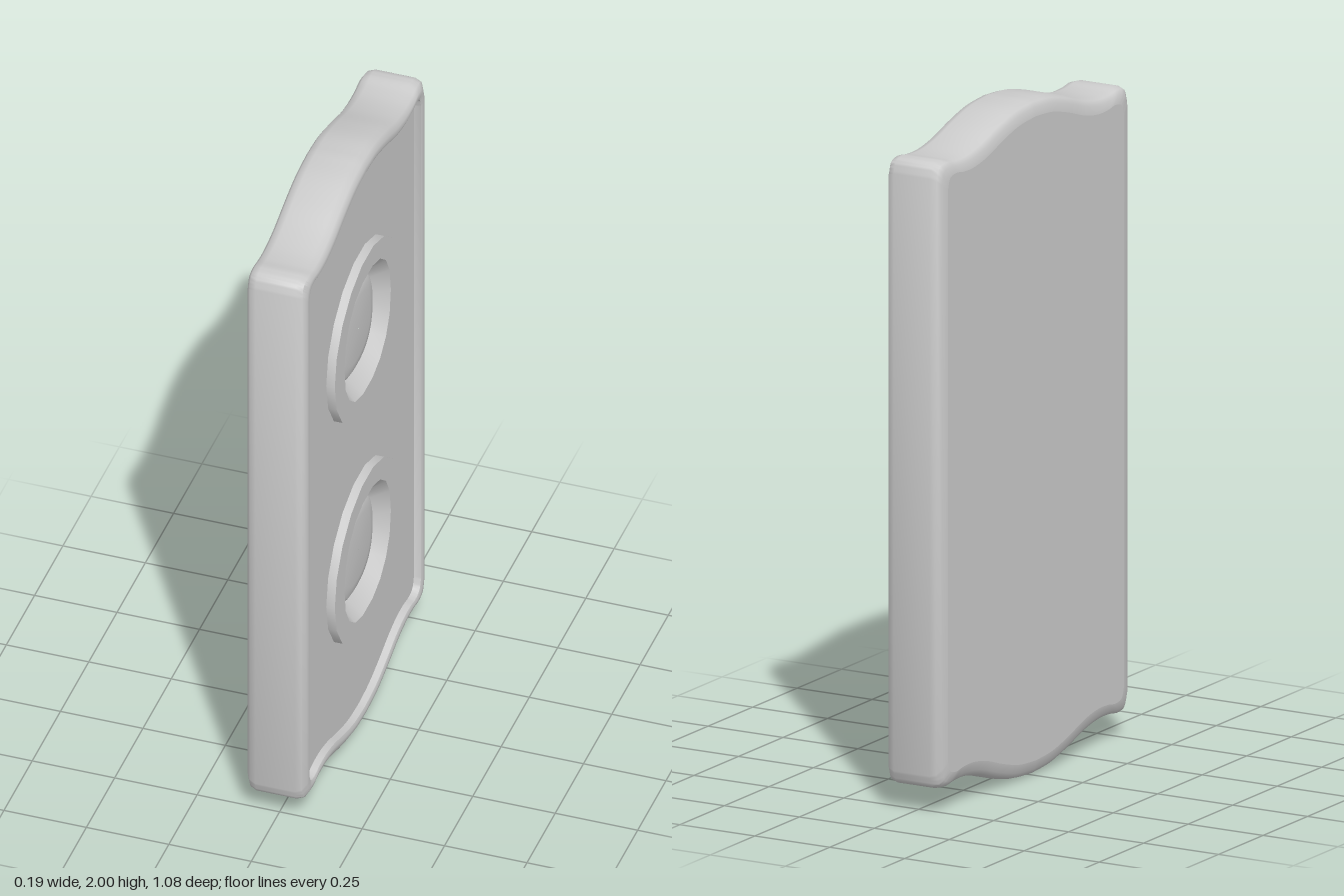
import * as THREE from 'three';
import { toCreasedNormals } from 'three/addons/utils/BufferGeometryUtils.js';

const material = new THREE.MeshStandardMaterial({ color: 0xcccccc });

// Skins a list of equal-length closed loops (counter-clockwise, seen from +z)
function loft(loops, crease) {
  const n = loops[0].length, index = [];
  for (let i = 0; i < loops.length - 1; i++) {
    for (let j = 0; j < n; j++) {
      const a = i * n + j, b = i * n + (j + 1) % n;
      index.push(a, b, b + n, a, b + n, a + n);
    }
  }
  const geo = new THREE.BufferGeometry();
  geo.setAttribute('position', new THREE.Float32BufferAttribute(loops.flat(2), 3));
  geo.setIndex(index);
  return toCreasedNormals(geo, crease);
}

function mesh(name, geo) {
  const m = new THREE.Mesh(geo, material);
  m.name = name;
  return m;
}

// Plate outline: one quarter of the crested edge, mirrored to all four corners
function plateOutline() {
  const quarter = new THREE.CatmullRomCurve3([
    [0, 1], [0.1, 0.992], [0.2, 0.968], [0.3, 0.937], [0.38, 0.923], [0.44, 0.923],
    [0.49, 0.929], [0.525, 0.92], [0.54, 0.885],
  ].map(([x, y]) => new THREE.Vector3(x, y, 0))).getPoints(40);
  const up = quarter.slice().reverse();
  return [
    ...up.map((p) => [p.x, p.y]),
    ...quarter.slice(1).map((p) => [-p.x, p.y]),
    ...up.map((p) => [-p.x, -p.y]),
    ...quarter.slice(1).map((p) => [p.x, -p.y]),
  ];
}

const inset = (outline, d) => outline.map(([x, y]) => [x * (1 - d / 0.54), 1 + y * (1 - d)]);
const toShape = (pts) => new THREE.Shape(pts.map(([x, y]) => new THREE.Vector2(x, y)));

// Slightly squared ellipse
function roundLoop([z, rx, ry, power], sides = 18) {
  const bend = (c) => Math.sign(c) * Math.abs(c) ** (2 / power);
  return Array.from({ length: sides }, (_, i) => {
    const a = (i / sides) * Math.PI * 2;
    return [rx * bend(Math.cos(a)), ry * bend(Math.sin(a)), z];
  });
}

export function createModel() {
  const group = new THREE.Group();
  group.name = 'plate';
  const plate = new THREE.Group();
  plate.name = 'plateParts';
  plate.rotation.y = Math.PI / 2; // detailed face looks to +x
  group.add(plate);

  // Rounded frame: back bevel, side, front bevel, rim and inner wall
  const outline = plateOutline();
  const frame = [
    [-0.094, 0.045], [-0.09, 0.02], [-0.08, 0.006], [-0.06, 0], [0.06, 0],
    [0.08, 0.006], [0.09, 0.022], [0.092, 0.035], [0.088, 0.045], [0.067, 0.047],
  ].map(([z, d]) => inset(outline, d).map(([x, y]) => [x, y, z]));
  plate.add(mesh('frame', loft(frame, 0.75)));

  // Flat back
  const back = mesh('back', new THREE.ShapeGeometry(toShape(inset(outline, 0.045))));
  back.rotation.y = Math.PI;
  back.position.z = -0.094;
  plate.add(back);

  // Recessed panel, opened under the two rings
  const centres = [[0.008, 1.389], [0.008, 0.597]];
  const panelShape = toShape(inset(outline, 0.047));
  for (const [x, y] of centres) {
    panelShape.holes.push(new THREE.Path().absarc(x, y, 0.24, 0, Math.PI * 2, true));
  }
  const panel = mesh('panel', new THREE.ShapeGeometry(panelShape, 24));
  panel.position.z = 0.067;
  plate.add(panel);

  // Raised rings with a funnel and a low domed button: [height, rx, ry, squareness]
  const ring = [
    [0.06, 0.291, 0.271, 2], [0.093, 0.291, 0.271, 2],
    [0.093, 0.205, 0.203, 2.25], [0.04, 0.164, 0.154, 2.45],
  ].map((p) => roundLoop(p));
  const button = [
    [0.038, 0.166, 0.156, 2.5], [0.04, 0.155, 0.146, 2.5], [0.053, 0.153, 0.144, 2.5],
    [0.06, 0.14, 0.132, 2.5], [0.064, 0.11, 0.104, 2.4], [0.066, 0.001, 0.001, 2],
  ].map((p) => roundLoop(p, 36));
  for (const [x, y] of centres) {
    const ringMesh = mesh('ring', loft(ring, 0.6));
    const buttonMesh = mesh('button', loft(button, 0.8));
    for (const m of [ringMesh, buttonMesh]) {
      m.position.set(x, y, 0);
      plate.add(m);
    }
  }
  return group;
}
